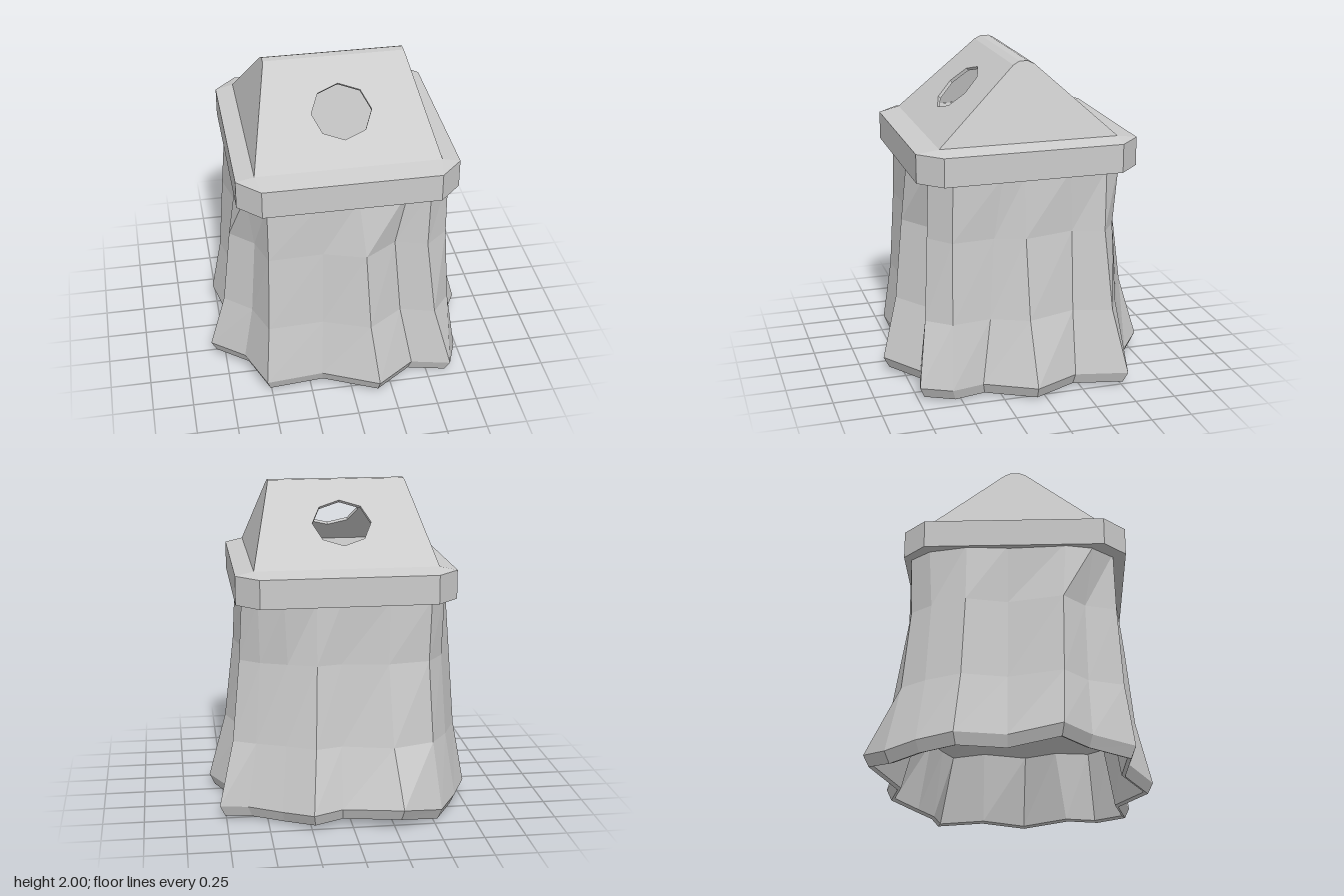
import * as THREE from 'three';

const material = new THREE.MeshStandardMaterial({
  color: 0xcccccc, flatShading: true, side: THREE.DoubleSide,
});

function addMesh(parent, name, geometry) {
  const mesh = new THREE.Mesh(geometry, material);
  mesh.name = name;
  parent.add(mesh);
  return mesh;
}

function toGeometry(pos) {
  const g = new THREE.BufferGeometry();
  g.setAttribute('position', new THREE.Float32BufferAttribute(pos, 3));
  g.computeVertexNormals();
  return g;
}

// Joins closed rings of [x, y, z] points (counterclockwise from above) with flat quads
function loft(rings) {
  const pos = [];
  for (let r = 0; r < rings.length - 1; r++) {
    const lo = rings[r], hi = rings[r + 1], n = lo.length;
    for (let i = 0; i < n; i++) {
      const j = (i + 1) % n;
      pos.push(...lo[i], ...lo[j], ...hi[j], ...lo[i], ...hi[j], ...hi[i]);
    }
  }
  return toGeometry(pos);
}

// Rectangle with cut corners, as a ring at height y
function cutRect(hx, hz, cut, y) {
  return [
    [-hx + cut, y, hz], [hx - cut, y, hz], [hx, y, hz - cut], [hx, y, -hz + cut],
    [hx - cut, y, -hz], [-hx + cut, y, -hz], [-hx, y, -hz + cut], [-hx, y, hz - cut],
  ];
}

// Folds of the hanging bag at the hem: x, z, height
const HEM = [
  [-0.53, 0.73, 0.09], [-0.18, 0.71, 0.1], [0.16, 0.87, 0.1], [0.4, 0.69, 0.09],
  [0.64, 0.745, 0.09], [0.71, 0.56, 0.08], [0.67, 0.36, 0.08], [0.83, 0.06, 0.08],
  [0.7, -0.22, 0.08], [0.79, -0.53, 0.09], [0.62, -0.56, 0.09], [0.42, -0.65, 0.08],
  [0.24, -0.79, 0.1], [0.06, -0.73, 0.11], [-0.29, -0.87, 0.14], [-0.55, -0.71, 0.07],
  [-0.67, -0.52, 0.09], [-0.77, -0.3, 0.1], [-0.71, 0, 0.1], [-0.84, 0.32, 0.12],
  [-0.64, 0.48, 0.12],
];
// The same folds half way up and under the lid: x, z
const WAIST = [
  [-0.49, 0.65], [-0.16, 0.64], [0.09, 0.72], [0.29, 0.59], [0.48, 0.65], [0.62, 0.53],
  [0.6, 0.27], [0.66, 0.09], [0.59, -0.22], [0.65, -0.41], [0.53, -0.5], [0.37, -0.56],
  [0.2, -0.62], [0.05, -0.59], [-0.23, -0.63], [-0.48, -0.59], [-0.58, -0.46],
  [-0.67, -0.25], [-0.61, 0], [-0.69, 0.33], [-0.55, 0.46],
];
const COLLAR = [
  [-0.49, 0.64], [-0.15, 0.64], [0.05, 0.67], [0.36, 0.61], [0.49, 0.64], [0.62, 0.52],
  [0.62, 0.22], [0.64, 0.09], [0.61, -0.2], [0.63, -0.42], [0.54, -0.53], [0.39, -0.59],
  [0.2, -0.61], [0.05, -0.6], [-0.24, -0.62], [-0.49, -0.6], [-0.59, -0.48],
  [-0.64, -0.25], [-0.62, 0], [-0.64, 0.35], [-0.6, 0.52],
];

const hemRing = (scale, drop) => HEM.map(([x, z, h]) => [x * scale, h - drop, z * scale]);
const flatRing = (outline, y) => outline.map(([x, z]) => [x, y, z]);
// Outline between hem and waist
const skirtRing = (scale, y) => HEM.map(([x, z], i) => [
  THREE.MathUtils.lerp(x, WAIST[i][0], 0.65) * scale, y,
  THREE.MathUtils.lerp(z, WAIST[i][1], 0.65) * scale,
]);

function buildBag() {
  return loft([
    skirtRing(0, 0.62),    // pleated underside
    skirtRing(0.9, 0.45),  // inside of the skirt
    hemRing(0.93, 0.06),
    hemRing(0.96, 0.07),   // turned-in lip
    hemRing(1, 0),         // hem
    skirtRing(1, 0.48),
    flatRing(WAIST, 0.98),
    flatRing(COLLAR, 1.36),
  ]);
}

// Gabled roof: half depth and height from the eaves to the rounded ridge
const EAVE = 1.54;
const PROFILE = [[0.5475, EAVE], [0.065, 1.98], [0.025, 2]];
const OUTLINE = [...PROFILE, ...PROFILE.map(([z, y]) => [-z, y]).reverse()];
const halfWidth = (y) => 0.555 - ((y - EAVE) / 0.46) * 0.13;

// Sloping panel with an eight-sided opening
function buildSlope() {
  const [[z0, y0], [z1, y1]] = PROFILE;
  const len = Math.hypot(z0 - z1, y1 - y0);
  const a = halfWidth(y0), b = halfWidth(y1);
  const shape = new THREE.Shape([
    new THREE.Vector2(-a, 0), new THREE.Vector2(a, 0),
    new THREE.Vector2(b, len), new THREE.Vector2(-b, len),
  ]);
  const hole = [];
  for (let i = 0; i < 8; i++) {
    const t = (i * Math.PI) / 4;
    hole.push(new THREE.Vector2(Math.cos(t) * 0.18, 0.345 + Math.sin(t) * 0.174));
  }
  shape.holes.push(new THREE.Path(hole));
  const g = new THREE.ExtrudeGeometry(shape, { depth: 0.02, bevelEnabled: false });
  g.translate(0, 0, -0.02);
  g.rotateX(-Math.atan2(z0 - z1, y1 - y0));
  g.translate(0, y0, z0);
  return g;
}

// Slanted end wall on the +x side
function buildGable() {
  const pts = OUTLINE.map(([z, y]) => [halfWidth(y), y, z]);
  const pos = [];
  for (let i = 1; i < pts.length - 1; i++) pos.push(...pts[0], ...pts[i + 1], ...pts[i]);
  return toGeometry(pos);
}

// Rounded ridge strip
function buildRidge() {
  const pos = [];
  for (let i = 1; i < 4; i++) {
    const [za, ya] = OUTLINE[i], [zb, yb] = OUTLINE[i + 1];
    const a = halfWidth(ya), b = halfWidth(yb);
    pos.push(-a, ya, za, a, ya, za, b, yb, zb, -a, ya, za, b, yb, zb, -b, yb, zb);
  }
  return toGeometry(pos);
}

export function createModel() {
  const model = new THREE.Group();
  model.name = 'trashBin';

  addMesh(model, 'bag', buildBag());

  const lid = new THREE.Group();
  lid.name = 'lid';
  lid.position.set(0.005, 0, 0.0375);
  model.add(lid);

  // Frame with cut corners and a shallow bevelled top
  addMesh(lid, 'lidFrame', loft([
    cutRect(0.53, 0.53, 0.1, 1.34),
    cutRect(0.665, 0.68, 0.135, 1.34),
    cutRect(0.665, 0.68, 0.135, 1.515),
    cutRect(0.555, 0.5475, 0, EAVE),
  ]));

  // Tapered container behind the openings
  addMesh(lid, 'innerContainer', loft([
    cutRect(0.55, 0.54, 0.02, EAVE),
    cutRect(0.34, 0.34, 0.02, 0.65),
    cutRect(0, 0, 0, 0.65),
  ]));

  for (const [side, turn] of [['front', 0], ['back', Math.PI]]) {
    addMesh(lid, side + 'Slope', buildSlope()).rotation.y = turn;
  }
  for (const [side, turn] of [['left', 0], ['right', Math.PI]]) {
    addMesh(lid, side + 'Gable', buildGable()).rotation.y = turn;
  }
  addMesh(lid, 'ridge', buildRidge());

  return model;
}
